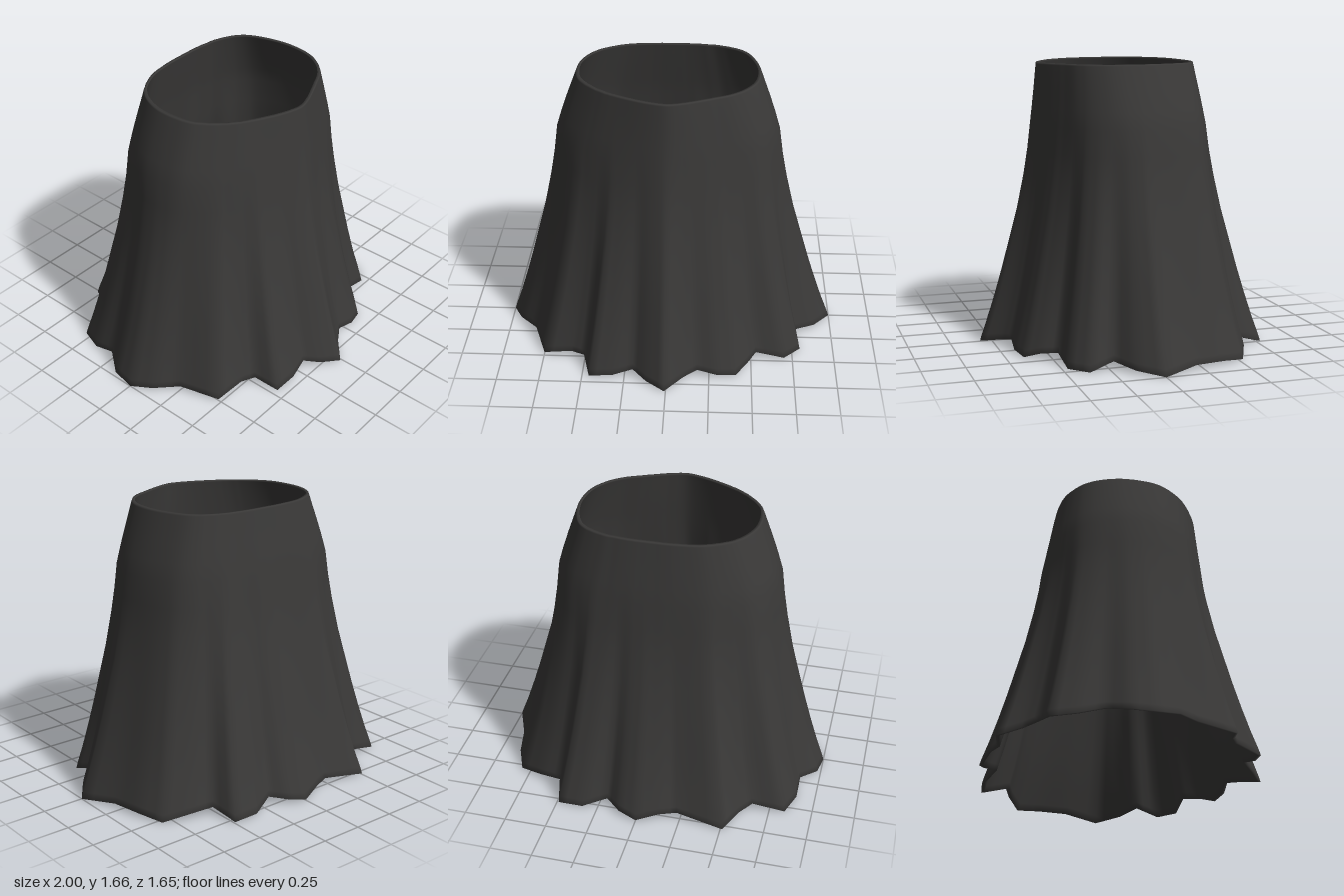
import * as THREE from 'three';

// Outlines as [x, z], running from the model's left (+x) round by the front (+z)
const WAIST = [
  [.515, 0], [.485, .15], [.39, .28], [.2, .385], [.07, .44], [0, .456], [-.07, .445], [-.2, .395], [-.39, .28],
  [-.515, .13], [-.545, 0], [-.535, -.15], [-.46, -.3], [-.31, -.4], [-.15, -.432], [0, -.437],
  [.15, -.432], [.31, -.4], [.43, -.32], [.5, -.15],
];
const HEM = [
  [1, 0], [.9, .14], [.78, .23], [.8, .37], [.7, .47], [.53, .48], [.48, .57], [.41, .65], [.3, .68], [.18, .67],
  [.1, .72], [-.01, .82], [-.12, .75], [-.2, .68], [-.32, .7], [-.46, .69], [-.5, .55], [-.58, .51], [-.75, .48],
  [-.83, .25], [-.94, .13], [-1, 0], [-.98, -.14], [-.89, -.26], [-.89, -.4], [-.84, -.54], [-.65, -.57],
  [-.58, -.65], [-.51, -.78], [-.23, -.75], [-.13, -.79], [0, -.83], [.11, -.8], [.2, -.73], [.34, -.79],
  [.49, -.78], [.53, -.63], [.66, -.6], [.81, -.53], [.87, -.39], [.91, -.21],
];
// [height, waist-to-hip blend, hip-to-hem blend]
const PROFILE = [
  [1.66, 0, 0], [1.65, .04, 0], [1.6, .2, 0], [1.5, .52, 0], [1.4, .79, .01], [1.3, 1, .03], [1.15, 1, .09],
  [1, 1, .17], [.8, 1, .3], [.6, 1, .46], [.45, 1, .58], [.3, 1, .71], [.15, 1, .85], [.04, 1, .965], [0, 1, 1],
];
const THICKNESS = .016;
const STEPS = 3; // columns per hem segment

const { lerp, clamp } = THREE.MathUtils;
const TAU = Math.PI * 2;
const angleOf = (x, z) => (Math.atan2(z, x) + TAU) % TAU;

// Point of the smooth waist outline at a given angle
const waistCurve = new THREE.CatmullRomCurve3(WAIST.map(([x, z]) => new THREE.Vector3(x, 0, z)), true);
const waistSamples = waistCurve.getPoints(400).slice(0, 400).map((p) => ({ x: p.x, z: p.z, a: angleOf(p.x, p.z) }));
function waistAt(angle) {
  const gap = (p) => Math.abs(Math.atan2(Math.sin(p.a - angle), Math.cos(p.a - angle)));
  const p = waistSamples.reduce((best, q) => (gap(q) < gap(best) ? q : best));
  const r = Math.hypot(p.x, p.z);
  return [r * Math.cos(angle), r * Math.sin(angle)];
}

// One vertical column of the cloth for each step round the hem
function makeColumns() {
  const n = HEM.length;
  const radius = (i) => Math.hypot(...HEM[(i + n) % n]);
  // Folds that stand out hang slightly lower
  const lift = (i) => clamp(.025 - .3 * (radius(i) - (radius(i - 2) + radius(i + 2)) / 2), .003, .05);
  const columns = [];
  for (let i = 0; i < n; i++) {
    const a = HEM[i], b = HEM[(i + 1) % n];
    for (let s = 0; s < STEPS; s++) {
      const t = s / STEPS;
      const hem = [lerp(a[0], b[0], t), lerp(a[1], b[1], t)];
      const waist = waistAt(angleOf(...hem));
      columns.push({
        waist, hem,
        hip: [waist[0] * 1.22, waist[1] * (waist[1] > 0 ? 1.06 : 1.13)],
        lift: lerp(lift(i), lift(i + 1), t),
      });
    }
  }
  return columns;
}

function pointOn(column, [y, hipT, hemT], inset) {
  const [x, z] = [0, 1].map((k) => lerp(lerp(column.waist[k], column.hip[k], hipT), column.hem[k], hemT));
  const shrink = 1 - inset / Math.hypot(x, z);
  const tilt = y > 1.6 ? -.008 * z : 0; // the waist dips a little to the front
  return [x * shrink, y + column.lift * hemT ** 3 + tilt, z * shrink];
}

// Closed shell: down the outside, round the hem, up the inside, over the waist
function makeSkirtGeometry() {
  const columns = makeColumns();
  const loop = [
    ...PROFILE.map((row) => [row, 0]),
    ...[...PROFILE].reverse().map((row) => [row, THICKNESS]),
  ];
  const rows = loop.length, cols = columns.length;
  const positions = [], index = [];
  for (const [row, inset] of loop) for (const column of columns) positions.push(...pointOn(column, row, inset));
  for (let j = 0; j < rows; j++) {
    for (let i = 0; i < cols; i++) {
      const i2 = (i + 1) % cols, j2 = (j + 1) % rows;
      const a = j * cols + i, b = j * cols + i2, c = j2 * cols + i, d = j2 * cols + i2;
      index.push(a, b, c, b, d, c);
    }
  }
  const geometry = new THREE.BufferGeometry();
  geometry.setAttribute('position', new THREE.Float32BufferAttribute(positions, 3));
  geometry.setIndex(index);
  geometry.computeVertexNormals();
  return geometry;
}

export function createModel() {
  const group = new THREE.Group();
  group.name = 'pleatedSkirt';
  const cloth = new THREE.MeshStandardMaterial({ color: 0x3a3938 });
  const skirt = new THREE.Mesh(makeSkirtGeometry(), cloth);
  skirt.name = 'skirt';
  group.add(skirt);
  return group;
}
